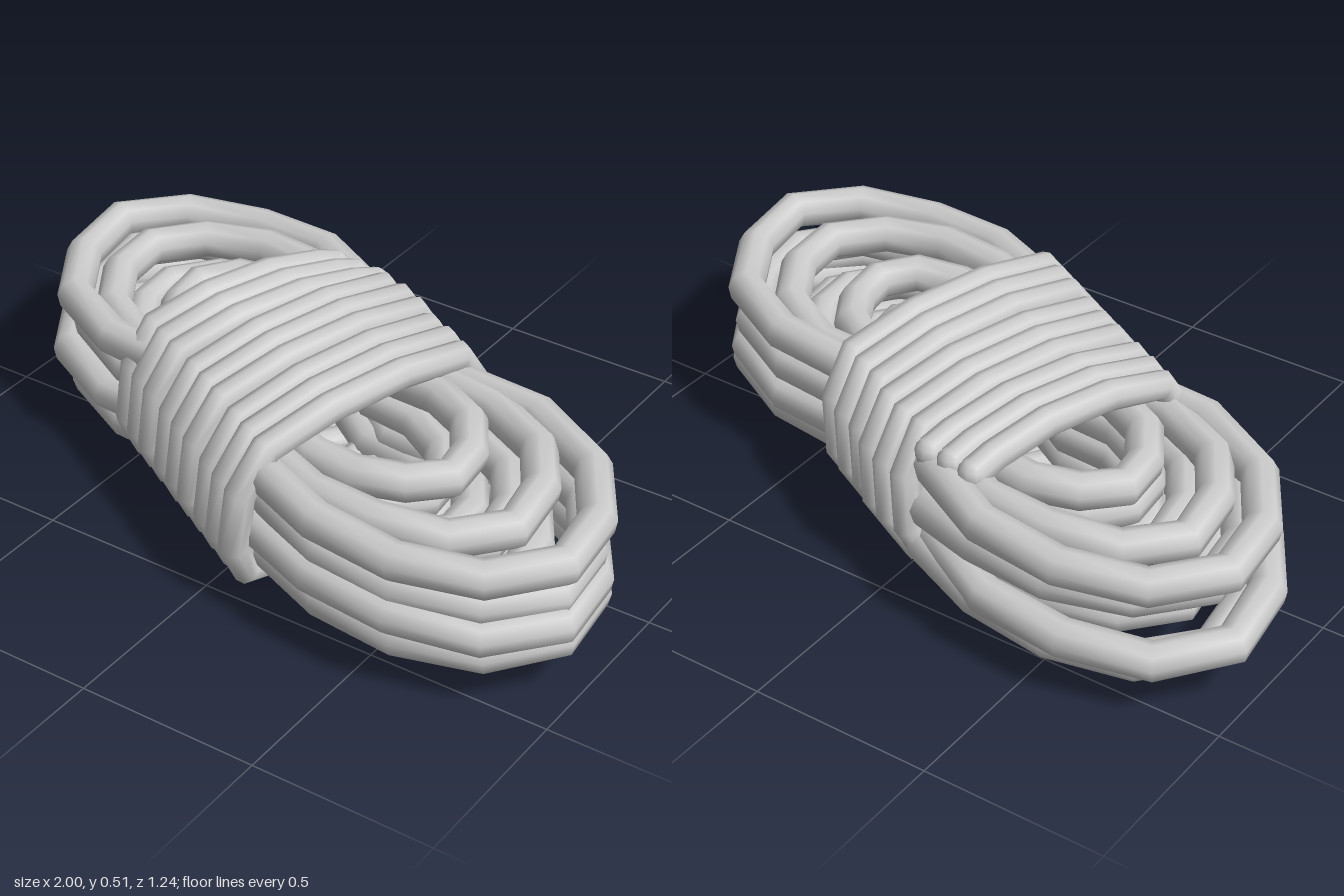
import * as THREE from 'three';

const material = new THREE.MeshStandardMaterial({ color: 0xcccccc });
const { lerp } = THREE.MathUtils;

// Rope through the given points: one tube ring on every point, rounded caps at both ends
function makeRope(name, points, radius) {
  const curve = new THREE.CatmullRomCurve3(points, false, 'centripetal');
  curve.getPointAt = (t, target) => curve.getPoint(t, target);
  curve.getTangentAt = (t, target) => curve.getTangent(t, target);
  const rope = new THREE.Group();
  rope.name = name;
  const tube = new THREE.Mesh(new THREE.TubeGeometry(curve, points.length - 1, radius, 9), material);
  tube.name = name + 'Strand';
  rope.add(tube);
  for (const end of [points[0], points[points.length - 1]]) {
    const cap = new THREE.Mesh(new THREE.SphereGeometry(radius, 9, 6), material);
    cap.name = name + 'End';
    cap.position.copy(end);
    rope.add(cap);
  }
  return rope;
}

// Slanted loop with a pinched waist (x, z): half of it, the other half is the point mirror
const half = [[0.3, -0.18], [0.57, -0.155], [0.8, -0.03], [0.92, 0.16], [0.95, 0.37],
  [0.82, 0.52], [0.6, 0.572], [0.36, 0.55], [0.13, 0.45], [-0.03, 0.34]];
const loop = [...half, ...half.map(([x, z]) => [-x, -z])];

// Stacked spirals, wound inward and outward in turn; each turn is [scale, shift in x]
function coilPoints() {
  const layers = [
    { y: 0.376, tiltX: 0.006, tiltZ: 0, turns: [[0.985, 0.012], [0.81, 0], [0.56, 0]] },
    { y: 0.288, tiltX: -0.012, tiltZ: 0, turns: [[0.52, -0.04], [0.71, 0], [0.94, 0.03]] },
    { y: 0.195, tiltX: 0.003, tiltZ: 0.045, turns: [[1, 0], [0.8, 0], [0.57, 0]] },
    { y: 0.14, tiltX: 0.025, tiltZ: -0.01, turns: [[0.5, -0.04], [0.72, 0.02], [0.96, 0.03]] },
  ];
  const turns = layers.flatMap(layer => layer.turns.map(([scale, shift]) => ({ ...layer, scale, shift })));
  const points = [];
  turns.forEach((turn, i) => {
    const next = turns[i + 1] || turn;
    loop.forEach(([x, z], k) => {
      // change over to the next turn beneath the wrapping
      const f = Math.max(0, (k - 17) / 3);
      const s = lerp(turn.scale, next.scale, f);
      const height = t => t.y + t.tiltX * x + t.tiltZ * z;
      const wobble = 0.005 * Math.sin(k * 1.9 + i * 2.3);
      points.push(new THREE.Vector3(x * s + lerp(turn.shift, next.shift, f),
        lerp(height(turn), height(next), f) + wobble, z * s));
    });
  });
  return points;
}

// One of three parallel strands, each wound three times around the middle
function wrapPoints(strand) {
  const backZ = [-0.43, -0.42, -0.415, -0.445, -0.425, -0.39, -0.34, -0.31, -0.27];
  const front = i => {
    const group = Math.floor(i / 3);
    return [-0.46 + 0.065 * i + 0.025 * group, 0.19 + 0.037 * i + 0.014 * group];
  };
  const back = i => [-0.25 + 0.07 * i, backZ[i]];
  // [position from start (0) to end (1), height]
  const over = [[0.1, 0.445], [0.35, 0.478], [0.65, 0.478], [0.9, 0.445], [0.99, 0.34]];
  const under = [[0, 0.18], [0.06, 0.085], [0.3, 0.048], [0.7, 0.048], [0.93, 0.08], [1, 0.19]];
  const tail = [[0, 0.18], [0.06, 0.085], [0.25, 0.06], [0.45, 0.085], [0.7, 0.13]];
  const points = [];
  const add = (a, b, profile) => profile.forEach(([t, y]) => points.push(new THREE.Vector3(
    a[0] + (b[0] - a[0]) * t + 0.1 * (y - 0.3), y, a[1] + (b[1] - a[1]) * t)));
  for (let i = strand; i < 9; i += 3) {
    // the first pass starts resting on top of the coil
    add(back(i), front(i), [i < 3 ? [0, 0.42] : [0.01, 0.34], ...over]);
    if (i < 6) add(front(i), back(i + 3), under);
    else add(front(i), back(i), tail);
  }
  return points;
}

export function createModel() {
  const model = new THREE.Group();
  model.name = 'ropeCoil';
  model.add(makeRope('coil', coilPoints(), 0.051));
  for (let strand = 0; strand < 3; strand++) {
    model.add(makeRope('wrapping' + (strand + 1), wrapPoints(strand), 0.041));
  }
  return model;
}
